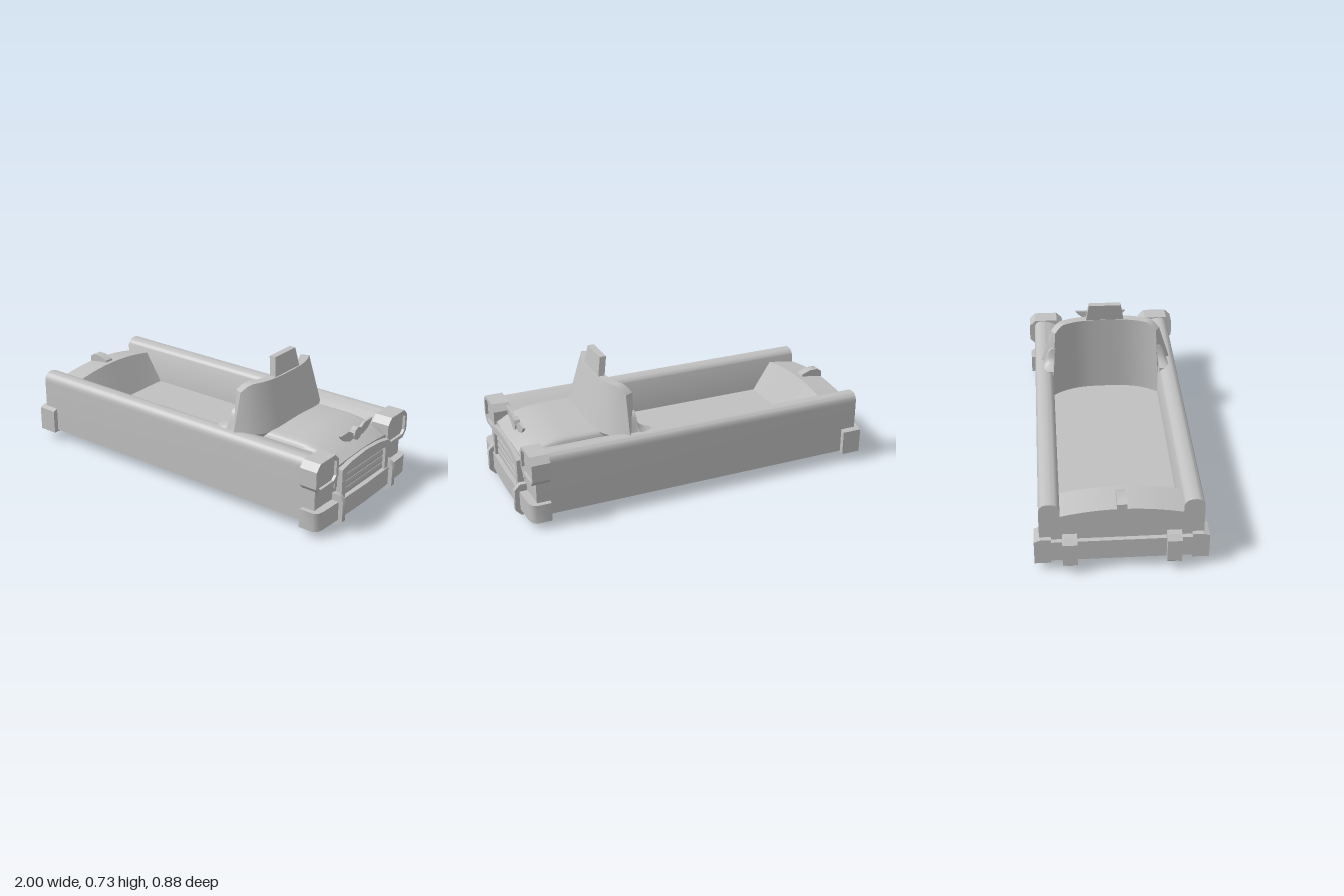
import * as THREE from 'three';
import { toCreasedNormals } from 'three/addons/utils/BufferGeometryUtils.js';

export function createModel() {
  const car = new THREE.Group();
  car.name = 'openCarBody';
  const grey = new THREE.MeshStandardMaterial({ color: 0xc0c0c0 });
  grey.name = 'plain grey';

  const add = (name, geo, crease = 0.6) => {
    const mesh = new THREE.Mesh(toCreasedNormals(geo, crease), grey);
    mesh.name = name;
    car.add(mesh);
  };
  const toShape = (pts) => new THREE.Shape(pts.map(([a, b]) => new THREE.Vector2(a, b)));
  const extrude = (shape, depth, steps = 1) =>
    new THREE.ExtrudeGeometry(shape, { depth, steps, bevelEnabled: false, curveSegments: 8 });
  // Outline in (x, y), extruded from z0 to z1
  const alongZ = (pts, z0, z1, steps) => extrude(toShape(pts), z1 - z0, steps).translate(0, 0, z0);
  // Outline in (z, y), extruded from x0 to x1
  const alongX = (shape, x0, x1, steps) => extrude(shape, x1 - x0, steps).rotateY(Math.PI / 2).translate(x0, 0, 0);
  // Outline in (x, z), extruded from y0 to y1
  const alongY = (pts, y0, y1) => extrude(toShape(pts), y1 - y0).rotateX(-Math.PI / 2).translate(0, y0, 0);
  const bend = (geo, rule) => {
    const p = geo.attributes.position;
    const v = new THREE.Vector3();
    for (let i = 0; i < p.count; i++) {
      v.fromBufferAttribute(p, i);
      rule(v);
      p.setXYZ(i, v.x, v.y, v.z);
    }
    return geo;
  };
  const chamfered = (a0, b0, a1, b1, c) => [
    [a0 + c, b0], [a1 - c, b0], [a1, b0 + c], [a1, b1 - c],
    [a1 - c, b1], [a0 + c, b1], [a0, b1 - c], [a0, b0 + c]];

  // Floor pan and the raised pads below it
  add('floor', new THREE.BoxGeometry(1.6, 0.12, 0.64).translate(-0.13, 0.12, 0));
  for (const x of [-0.62, 0, 0.62]) {
    const pad = bend(new THREE.BoxGeometry(0.245, 0.03, 0.63), (v) => {
      if (v.y < 0) { v.x *= 0.75; v.z *= 0.9; }
    });
    add('underPad', pad.translate(x, 0.051, 0), 0.3);
  }

  // Side walls with rounded tops
  for (const s of [1, -1]) {
    const wall = new THREE.Shape();
    wall.moveTo(s * 0.305, 0.06);
    wall.lineTo(s * 0.41, 0.06);
    wall.lineTo(s * 0.41, 0.345);
    wall.quadraticCurveTo(s * 0.41, 0.397, s * 0.36, 0.397);
    wall.quadraticCurveTo(s * 0.315, 0.397, s * 0.305, 0.36);
    add('sideWall', alongX(wall, -0.94, 0.93));

    // Front wing sloping inwards to the bonnet
    const wing = [[0.24, 0.2], [0.345, 0.2], [0.355, 0.396], [0.33, 0.392], [0.3, 0.381], [0.27, 0.365], [0.24, 0.352]];
    add('frontWing', alongX(toShape(wing.map(([z, y]) => [s * z, y])), 0.42, 0.93));
  }

  // Crowned rear deck with the sloping back of the cabin
  const deck = alongZ([[-0.94, 0.06], [-0.68, 0.06], [-0.68, 0.18], [-0.785, 0.342], [-0.94, 0.32]], -0.31, 0.31, 10);
  add('rearDeck', bend(deck, (v) => {
    if (v.y > 0.3) v.y += 0.035 * (1 - (v.z / 0.31) ** 2);
  }), 0.45);
  add('deckHandle', alongZ([[-0.945, 0.33], [-0.81, 0.36], [-0.82, 0.383], [-0.87, 0.402], [-0.92, 0.402], [-0.945, 0.385]], -0.025, 0.025));

  // Nose block, following the curved cabin front and the bowed nose
  const nose = [];
  for (let i = -8; i <= 8; i++) nose.push([0.44 - 0.09 * Math.abs(i / 8) ** 3, 0.31 * i / 8]);
  nose.push([0.93, 0.31], [0.94, 0.2], [0.95, 0], [0.94, -0.2], [0.93, -0.31]);
  add('noseBlock', alongY(nose, 0.06, 0.29), 0.4);

  // Arched bonnet, falling away to the grille
  const arch = new THREE.Shape();
  arch.moveTo(-0.25, 0.2);
  arch.lineTo(0.25, 0.2);
  arch.lineTo(0.25, 0.355);
  arch.quadraticCurveTo(0.245, 0.385, 0.2, 0.388);
  arch.quadraticCurveTo(0, 0.418, -0.2, 0.388);
  arch.quadraticCurveTo(-0.245, 0.385, -0.25, 0.355);
  add('bonnet', bend(alongX(arch, 0.46, 0.955, 16), (v) => {
    if (v.y > 0.3 && v.x > 0.7) v.y -= 0.066 * ((v.x - 0.7) / 0.255) ** 2;
    if (v.x > 0.9) v.x -= 0.2 * v.z * v.z;
  }), 0.7);

  // Curved windscreen, a loft of four-cornered sections from side to side
  const sections = [];
  const N = 24;
  for (let i = 0; i <= N; i++) {
    const u = -1 + 2 * i / N;
    const a = Math.abs(u);
    const top = 0.633 - 0.038 * Math.max(0, (a - 0.83) / 0.17) ** 1.6;
    sections.push([
      [0.555 - 0.15 * a ** 3.4, 0.38, 0.378 * u],
      [0.482 - 0.083 * a ** 3, top, 0.312 * u],
      [0.435 - 0.08 * a ** 3, top, 0.29 * u],
      [0.44 - 0.09 * a ** 3, 0.17, 0.31 * u]]);
  }
  const index = [];
  for (let i = 0; i < N; i++) {
    for (let j = 0; j < 4; j++) {
      const a = i * 4 + j, b = i * 4 + (j + 1) % 4;
      index.push(a, b, b + 4, a, b + 4, a + 4);
    }
  }
  const e = N * 4;
  index.push(e, e + 1, e + 2, e, e + 2, e + 3, 0, 2, 1, 0, 3, 2);
  const screen = new THREE.BufferGeometry();
  screen.setAttribute('position', new THREE.Float32BufferAttribute(sections.flat(2), 3));
  screen.setIndex(index);
  add('windscreen', screen);

  // Fillets sweeping up from the walls, highest on the cabin side
  const sweep = [[0.27, 0.36], [0.4, 0.36], [0.39, 0.5], [0.353, 0.5], [0.347, 0.45], [0.33, 0.42], [0.3, 0.404], [0.27, 0.394]];
  for (const s of [1, -1]) {
    add('screenFillet', bend(alongZ(sweep, s > 0 ? 0.307 : -0.372, s > 0 ? 0.372 : -0.307, 6), (v) => {
      const t = (Math.abs(v.z) - 0.307) / 0.065;
      if (v.y > 0.39) {
        v.z -= s * (v.y - 0.39) * 0.15;
        v.y = 0.39 + (v.y - 0.39) * (1 - t ** 3);
      }
    }), 1);
  }

  // Tapered block on the windscreen
  add('roofBlock', bend(new THREE.BoxGeometry(0.035, 0.115, 0.22), (v) => {
    if (v.y > 0) { v.z *= 0.83; v.x -= 0.02; }
  }).translate(0.457, 0.676, 0));

  // Arched grille surround and slats
  const surround = toShape([[-0.228, 0.12], [0.228, 0.12], [0.228, 0.3], [0.13, 0.32], [0, 0.33], [-0.13, 0.32], [-0.228, 0.3]]);
  surround.holes.push(toShape([[-0.195, 0.13], [0.195, 0.13], [0.195, 0.265], [0.13, 0.28], [0, 0.291], [-0.13, 0.28], [-0.195, 0.265]]));
  add('grilleSurround', alongX(surround, 0.925, 0.972));
  for (let i = 0; i < 4; i++) {
    const slat = new THREE.CylinderGeometry(0.021, 0.021, 0.4, 10).rotateX(Math.PI / 2).scale(0.4, 1, 1);
    add('grilleSlat', slat.translate(0.95, 0.155 + i * 0.038, 0));
  }

  for (const s of [1, -1]) {
    // Chamfered headlights with a recessed lens
    const lamp = (m) => toShape(chamfered(-0.1 + m, -0.08 + m, 0.1 - m, 0.08 - m, 0.034 - m * 0.7));
    const rim = lamp(0);
    rim.holes.push(lamp(0.019));
    const z = s * 0.34;
    add('headlightRim', alongX(rim, 0.935, 0.955).translate(0, 0.32, z));
    add('headlight', alongX(lamp(0), 0.857, 0.94).translate(0, 0.32, z));

    // Front overriders wrapping the bumper
    const hook = chamfered(0.86, 0, 1, 0.177, 0.03);
    add('frontOverrider', alongZ(hook, s * 0.245 - 0.014, s * 0.245 + 0.014), 0.9);

    // Rear bumper corners and overriders
    const corner = toShape([[0.352, 0.05], [0.437, 0.05], [0.437, 0.184], [0.405, 0.196], [0.352, 0.196]].map(([a, b]) => [s * a, b]));
    add('rearBumperCorner', alongX(corner, -0.965, -0.857), 0.3);
    add('rearOverrider', alongZ(chamfered(-1, 0.035, -0.9, 0.21, 0.025), s * 0.26 - 0.037, s * 0.26 + 0.037));
  }

  // Front bumper, bowed and wrapped round the corners
  const half = [[0.978, 0.2], [0.97, 0.39], [0.962, 0.42], [0.94, 0.437], [0.86, 0.437], [0.86, 0.395], [0.92, 0.39]];
  const bumper = [[0.982, 0], ...half, ...half.map(([x, z]) => [x, -z]).reverse()];
  add('frontBumper', alongY(bumper, 0.036, 0.138), 0.7);
  add('rearBumperBar', new THREE.BoxGeometry(0.04, 0.115, 0.8).translate(-0.945, 0.122, 0));

  // Winged bonnet ornament
  add('ornamentDisc', new THREE.CylinderGeometry(0.036, 0.036, 0.03, 8).rotateZ(Math.PI / 2).translate(0.9, 0.402, 0));
  for (const s of [1, -1]) {
    const wing = toShape([[0.025, 0.385], [0.06, 0.376], [0.11, 0.395], [0.135, 0.414], [0.154, 0.437], [0.075, 0.437], [0.025, 0.408]].map(([z, y]) => [s * z, y]));
    add('ornamentWing', alongX(wing, 0.893, 0.907));
  }

  return car;
}
